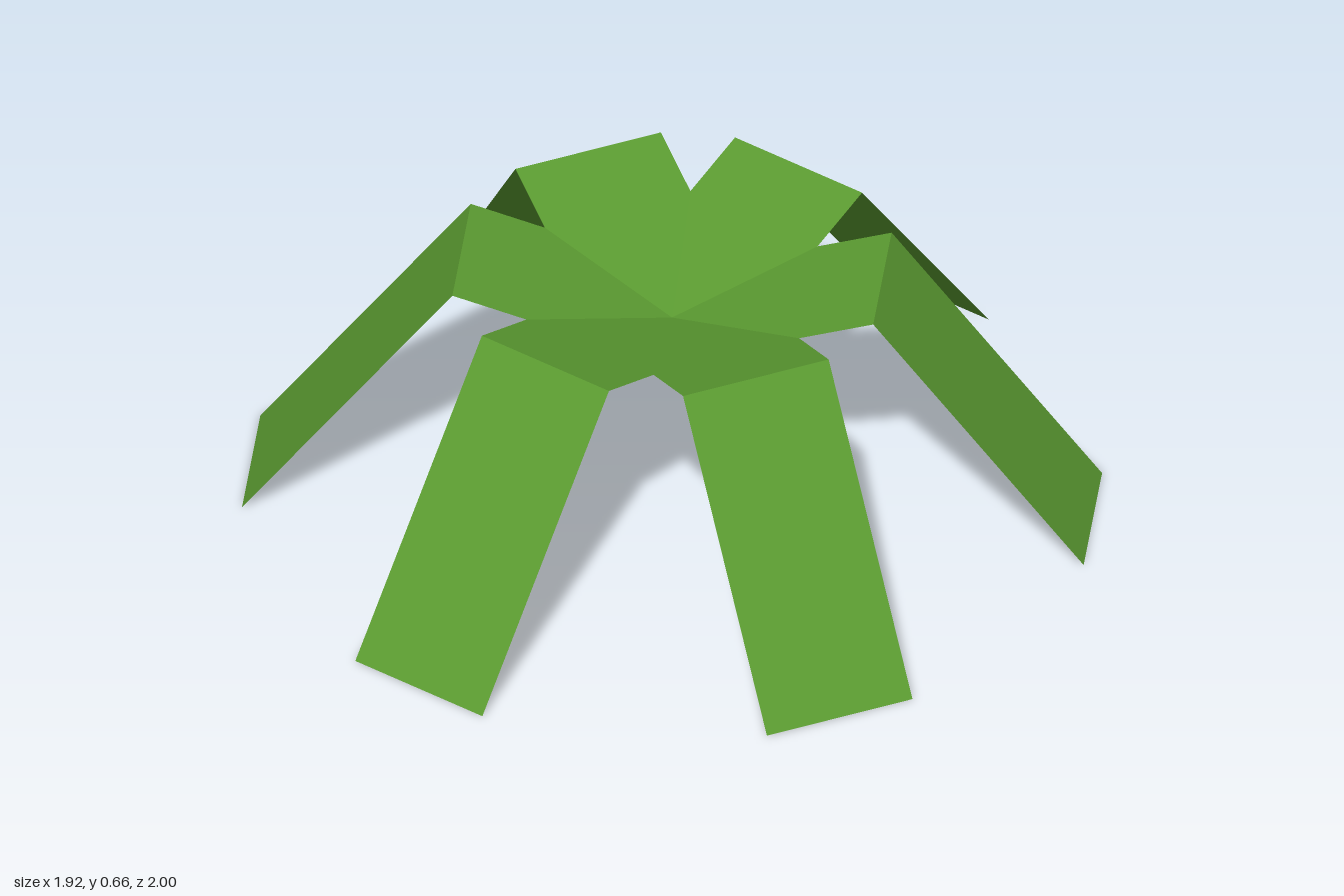
import * as THREE from 'three';

const HALF_WIDTH = 0.187;
// Leaf profile from the heart of the plant outwards: [radius, height]
const PROFILE = [[0, 0.502], [0.5, 0.657], [1, 0]];

// One folded leaf running along +z, a flat strip through the profile
function leafGeometry() {
  const positions = [];
  const indices = [];
  PROFILE.forEach(([r, y], i) => {
    positions.push(-HALF_WIDTH, y, r, HALF_WIDTH, y, r);
    if (i > 0) {
      const a = (i - 1) * 2;
      indices.push(a, a + 2, a + 1, a + 1, a + 2, a + 3);
    }
  });
  const indexed = new THREE.BufferGeometry();
  indexed.setAttribute('position', new THREE.Float32BufferAttribute(positions, 3));
  indexed.setIndex(indices);
  const geometry = indexed.toNonIndexed(); // keeps the fold sharp
  geometry.computeVertexNormals();
  return geometry;
}

export function createModel() {
  const plant = new THREE.Group();
  plant.name = 'plant';

  const leafGreen = new THREE.MeshStandardMaterial({
    name: 'leaf green',
    color: 0x5b9b31,
    flatShading: true,
    side: THREE.DoubleSide,
  });

  // Six leaves crossing at the centre
  const geometry = leafGeometry();
  for (let i = 0; i < 6; i++) {
    const leaf = new THREE.Mesh(geometry, leafGreen);
    leaf.name = `leaf${i + 1}`;
    leaf.rotation.y = (i * Math.PI) / 3;
    plant.add(leaf);
  }
  return plant;
}
